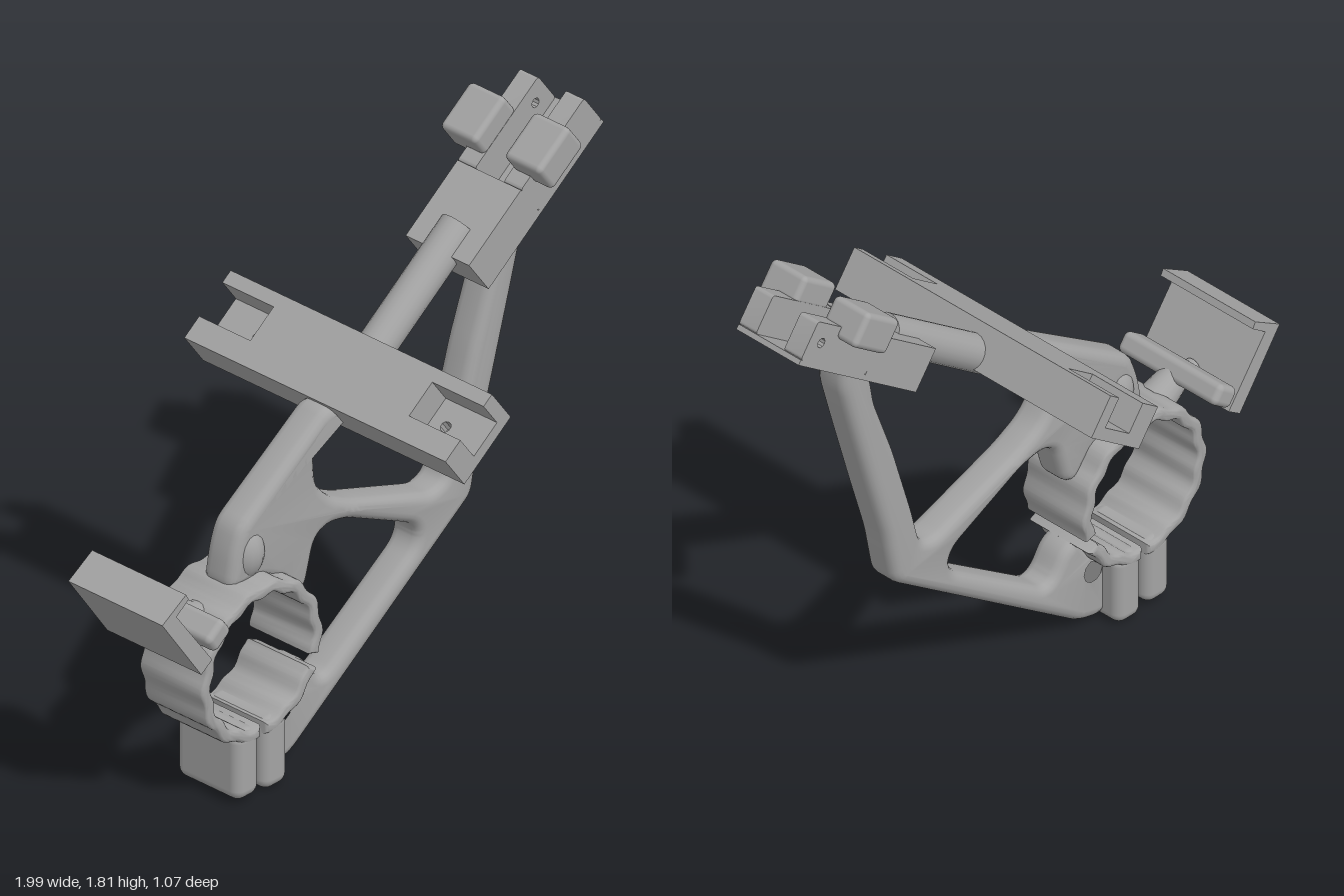
import * as THREE from 'three';
import { toCreasedNormals } from 'three/addons/utils/BufferGeometryUtils.js';
import { RoundedBoxGeometry } from 'three/addons/geometries/RoundedBoxGeometry.js';

const TILT = THREE.MathUtils.degToRad(36);
const ZC = -0.005; // depth centre of the symmetric parts

const grey = new THREE.MeshStandardMaterial({ color: 0xa3a3a3 });
grey.name = 'grey plastic';

function add(parent, name, geometry, x = 0, y = 0, z = 0) {
  const mesh = new THREE.Mesh(geometry, grey);
  mesh.name = name;
  mesh.position.set(x, y, z);
  parent.add(mesh);
  return mesh;
}

// Polygon with every corner softened by a quadratic curve
function softShape(points, radius) {
  const p = points.map(([x, y]) => new THREE.Vector2(x, y));
  const shape = new THREE.Shape();
  p.forEach((c, i) => {
    const a = p[(i + p.length - 1) % p.length], b = p[(i + 1) % p.length];
    const s = c.clone().lerp(a, Math.min(0.45, radius / c.distanceTo(a)));
    const e = c.clone().lerp(b, Math.min(0.45, radius / c.distanceTo(b)));
    if (i === 0) shape.moveTo(s.x, s.y); else shape.lineTo(s.x, s.y);
    shape.quadraticCurveTo(c.x, c.y, e.x, e.y);
  });
  shape.closePath();
  return shape;
}

function rect(x0, y0, x1, y1) {
  return new THREE.Shape([[x0, y0], [x1, y0], [x1, y1], [x0, y1]].map(q => new THREE.Vector2(...q)));
}

function circleHole(x, y, r) {
  return new THREE.Path().absarc(x, y, r, 0, Math.PI * 2, true);
}

// Extrusion between two depths with edges rounded inside the outline
function slab(shape, z0, z1, bevel = 0) {
  const g = new THREE.ExtrudeGeometry(shape, {
    depth: z1 - z0 - 2 * bevel, curveSegments: 5, bevelEnabled: bevel > 0,
    bevelSize: bevel, bevelThickness: bevel, bevelOffset: -bevel, bevelSegments: 4,
  });
  g.translate(0, 0, z0 + bevel);
  return toCreasedNormals(g, 0.6);
}

function block(x0, x1, y0, y1, z0, z1, r = 0) {
  const s = [x1 - x0, y1 - y0, z1 - z0];
  const g = r ? new RoundedBoxGeometry(...s, 3, r) : new THREE.BoxGeometry(...s);
  return g.translate((x0 + x1) / 2, (y0 + y1) / 2, (z0 + z1) / 2);
}

function rod(parent, name, a, b, r0, r1 = r0) {
  const A = new THREE.Vector3(...a), B = new THREE.Vector3(...b);
  const d = B.clone().sub(A);
  const m = add(parent, name, new THREE.CylinderGeometry(r1, r0, d.length(), 20));
  m.position.copy(A.add(B).multiplyScalar(0.5));
  m.quaternion.setFromUnitVectors(new THREE.Vector3(0, 1, 0), d.normalize());
}

function tilted(parent, name, x, y) {
  const g = new THREE.Group();
  g.name = name;
  g.position.set(x, y, ZC);
  g.rotation.z = TILT;
  parent.add(g);
  return g;
}

// Slightly rippled arc of the clamp ring, angles in degrees
function ringArc(from, to) {
  const pts = [], n = Math.ceil((to - from) / 4);
  const at = (i, r) => {
    const t = THREE.MathUtils.degToRad(from + (to - from) * i / n);
    const q = r + 0.006 * Math.cos(14 * t);
    return new THREE.Vector2(-0.49 + q * Math.cos(t), 0.46 + q * Math.sin(t));
  };
  for (let i = 0; i <= n; i++) pts.push(at(i, 0.262));
  for (let i = n; i >= 0; i--) pts.push(at(i, 0.22));
  return new THREE.Shape(pts);
}

export function createModel() {
  const model = new THREE.Group();
  model.name = 'clampBracket';

  // Truss frame: gusset, diagonal strut, rear strut and lower beam in one outline
  const frame = softShape([
    [-.56, .71], [-.54, .82], [-.51, .90], [-.13, 1.155], [-.01, 1.12], [-.05, 1.09],
    [-.14, 1.08], [-.185, 1.02], [-.175, .91], [-.115, .84], [-.02, .79], [.33, .665],
    [.39, .685], [.425, .825], [.505, 1.09], [.585, 1.305], [.605, 1.42], [.65, 1.53],
    [.725, 1.54], [.73, 1.42], [.675, 1.225], [.605, .985], [.54, .77], [.505, .59],
    [-.285, .03], [-.375, .01], [-.43, .05], [-.43, .225], [-.365, .25], [-.31, .30],
    [-.28, .35], [-.22, .325], [-.175, .25], [-.135, .235], [.25, .50], [.27, .545],
    [.25, .59], [-.035, .73], [-.125, .75], [-.18, .725], [-.22, .58], [-.268, .564],
    [-.333, .648], [-.427, .697], [-.53, .70],
  ], 0.035);
  frame.holes.push(circleHole(-.335, .20, .075));
  add(model, 'trussFrame', slab(frame, ZC - 0.062, ZC + 0.062, 0.034));

  // Split clamp ring with two bolt ears
  add(model, 'clampRing', slab(ringArc(-17, 268), -0.135, 0.125, 0.014));
  add(model, 'clampJaw', slab(ringArc(273, 333), -0.135, 0.125, 0.014));
  add(model, 'clampEar', block(-.60, -.498, .012, .245, -0.135, 0.125, 0.035));
  add(model, 'clampEar', block(-.48, -.375, .0, .245, -0.135, 0.125, 0.035));
  const fillet = add(model, 'ringFillet', new THREE.SphereGeometry(1, 20, 14), -.46, .735, ZC);
  fillet.scale.set(0.07, 0.1, 0.085);
  // keep the fillet out of the bore
  fillet.position.y = .79;

  // Cross arm with an open notch at each end
  const arm = tilted(model, 'crossArm', .015, 1.178);
  const floor = rect(-.125, -.535, .125, .535);
  [-.385, .385].forEach(z => floor.holes.push(circleHole(0, z, .018)));
  add(arm, 'armFloor', slab(floor, 0, .04).rotateX(-Math.PI / 2), 0, -.07, 0);
  add(arm, 'armWall', block(-.125, -.045, -.03, .07, -.535, .535));
  add(arm, 'armWall', block(.08, .125, -.03, .07, -.535, .535));
  add(arm, 'armCore', block(-.045, .08, -.03, .07, -.325, .325));

  // Round bar joining the cross arm to the upper head
  rod(model, 'upperBar', [.08, 1.19, ZC], [.5, 1.495, ZC], 0.06);

  // Upper head: solid block, forked end and side wings
  const head = tilted(model, 'upperHead', .70, 1.573);
  add(head, 'headBlock', block(-.31, -.03, -.0725, .0725, -.13, .13));
  add(head, 'headFloor', block(-.03, .31, -.0725, -.055, -.13, .13));
  for (const s of [-1, 1]) {
    const wall = softShape([[-.03, -.055], [.31, -.055], [.31, .0725], [-.03, .0725]], 0.012);
    if (s < 0) wall.holes.push(circleHole(.25, .01, .016));
    const [z0, z1] = s < 0 ? [-.13, -.058] : [.058, .13];
    add(head, 'forkWall', slab(wall, z0, z1));
    const [w0, w1] = s < 0 ? [-.205, -.058] : [.058, .205];
    add(head, 'headWing', block(.02, .19, .06, .15, w0, w1, 0.018));
    add(head, 'wingSide', block(.02, .19, .035, .14, s < 0 ? -.205 : .12, s < 0 ? -.12 : .205, 0.018));
  }

  // Left holder: lipped plate, rounded cross block and neck
  const plate = new THREE.Shape([
    [-1, .83], [-.83, .588], [-.782, .62], [-.938, .834], [-.885, .872], [-.896, .893],
  ].map(q => new THREE.Vector2(...q)));
  add(model, 'holderPlate', slab(plate, -.195, .19));
  const holder = tilted(model, 'holderBlock', -.757, .692);
  add(holder, 'holderCrossBlock', block(-.045, .045, -.035, .035, -.205, .205, 0.02));
  rod(model, 'holderNeck', [-.82, .66, ZC], [-.745, .67, ZC], 0.035);
  rod(model, 'holderNeck', [-.765, .685, ZC], [-.665, .63, ZC], 0.045, 0.06);

  return model;
}
